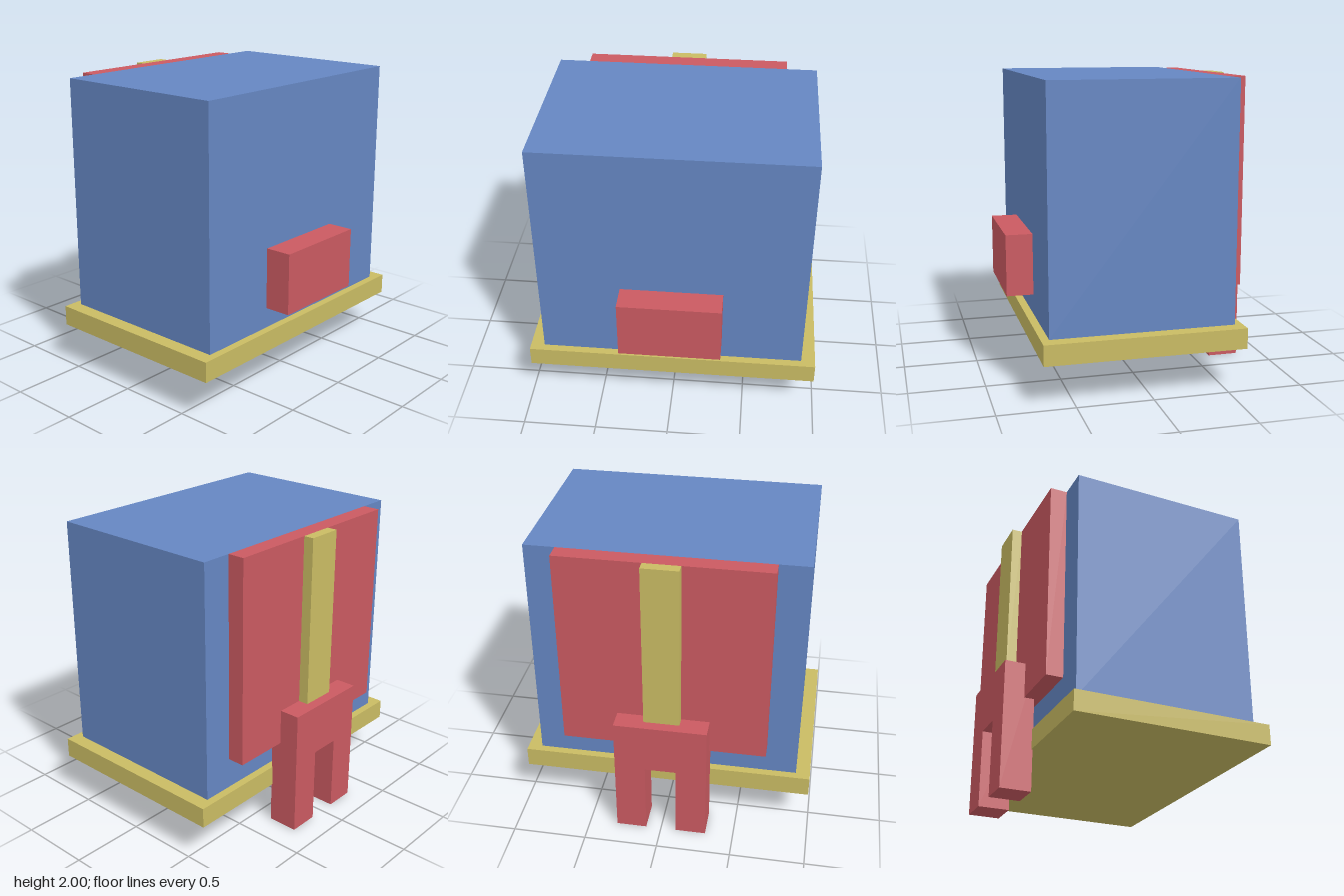
import * as THREE from 'three';

const mat = (name, color) => {
  const m = new THREE.MeshStandardMaterial({ color });
  m.name = name;
  return m;
};

export function createModel() {
  const blue = mat('blue', 0x6586c2);
  const yellow = mat('yellow', 0xc9bb63);
  const red = mat('red', 0xca5a61);
  const model = new THREE.Group();
  model.name = 'model';

  // Box given by its half width and its y and z ranges
  const addBox = (name, material, halfX, y0, y1, z0, z1) => {
    const mesh = new THREE.Mesh(new THREE.BoxGeometry(2 * halfX, y1 - y0, z1 - z0), material);
    mesh.position.set(0, (y0 + y1) / 2, (z0 + z1) / 2);
    mesh.name = name;
    model.add(mesh);
  };

  addBox('body', blue, 0.893, 0.415, 2, -0.574, 0.647);
  addBox('basePlate', yellow, 0.988, 0.278, 0.415, -0.627, 0.7);
  addBox('frontBlock', red, 0.343, 0.553, 0.967, 0.647, 0.826);
  addBox('backPanel', red, 0.687, 0.622, 2, -0.688, -0.574);
  addBox('backBar', yellow, 0.12, 0.862, 2, -0.757, -0.688);

  // Two-legged bracket: an arch outline extruded in z
  const arch = new THREE.Shape([
    [-0.309, 0], [-0.104, 0], [-0.104, 0.517], [0.104, 0.517],
    [0.104, 0], [0.309, 0], [0.309, 0.862], [-0.309, 0.862],
  ].map(([x, y]) => new THREE.Vector2(x, y)));
  const bracket = new THREE.Mesh(
    new THREE.ExtrudeGeometry(arch, { depth: 0.206, bevelEnabled: false }), red);
  bracket.position.z = -0.826;
  bracket.name = 'legBracket';
  model.add(bracket);

  return model;
}
